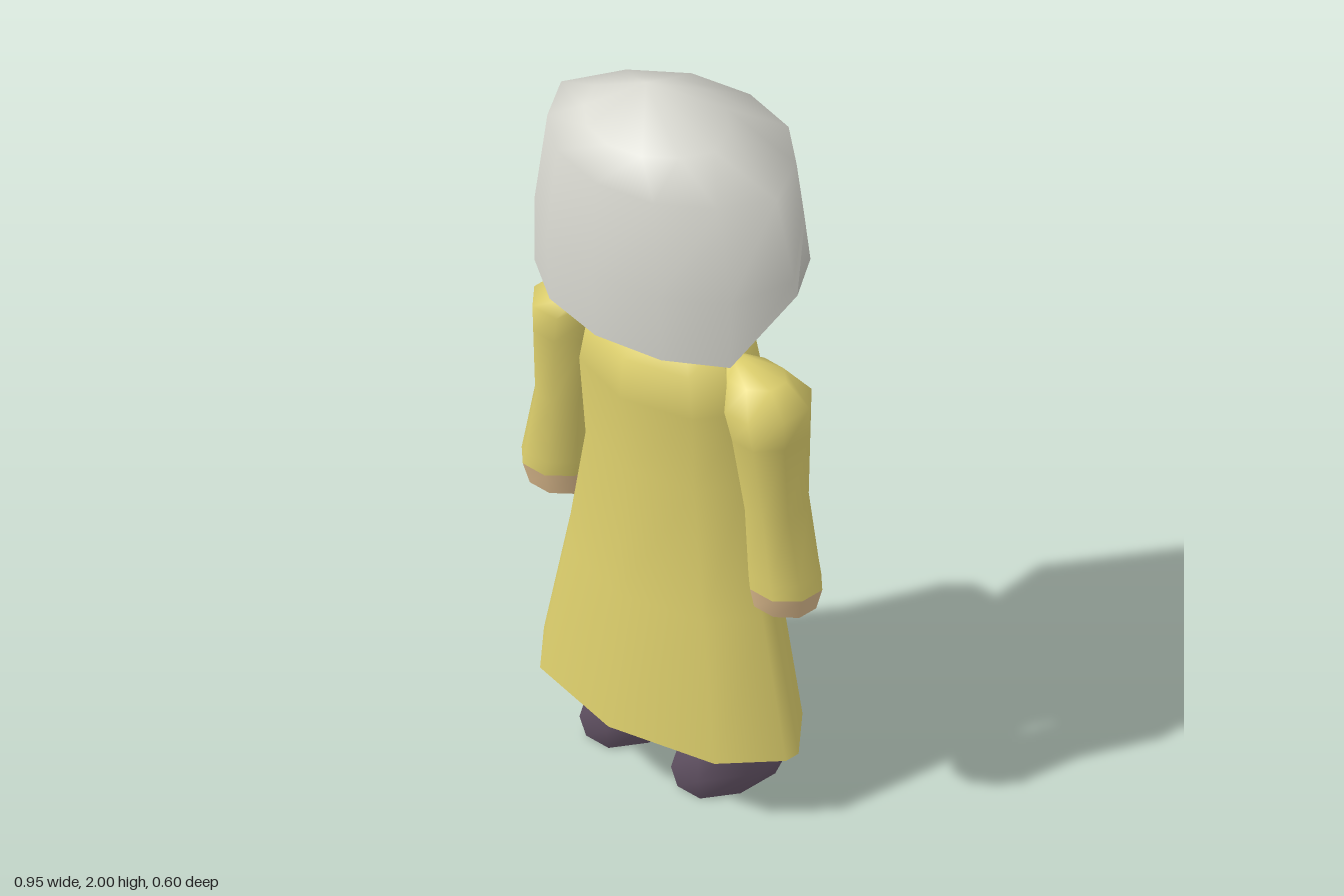
import * as THREE from 'three';
import { mergeVertices } from 'three/addons/utils/BufferGeometryUtils.js';

const mat = (name, color, side = THREE.FrontSide) => {
  const m = new THREE.MeshStandardMaterial({ color, side });
  m.name = name;
  return m;
};

// Smooth surface through rows of points (bottom to top); columns run counterclockwise seen from above
function grid(rows, closed = false) {
  const n = rows[0].length, pos = rows.flat(2), idx = [];
  for (let r = 0; r < rows.length - 1; r++)
    for (let k = 0; k < (closed ? n : n - 1); k++) {
      const a = r * n + k, b = r * n + (k + 1) % n;
      idx.push(a, b, b + n, a, b + n, a + n);
    }
  let g = new THREE.BufferGeometry();
  g.setAttribute('position', new THREE.Float32BufferAttribute(pos, 3));
  g.setIndex(idx);
  g = mergeVertices(g);
  g.computeVertexNormals();
  return g;
}

// Flat fan closing a ring
function cap(ring, up) {
  const n = ring.length, c = [0, 1, 2].map(i => ring.reduce((s, p) => s + p[i], 0) / n), idx = [];
  for (let k = 0; k < n; k++) idx.push(n, up ? k : (k + 1) % n, up ? (k + 1) % n : k);
  const g = new THREE.BufferGeometry();
  g.setAttribute('position', new THREE.Float32BufferAttribute([...ring, c].flat(), 3));
  g.setIndex(idx);
  g.computeVertexNormals();
  return g;
}

// Head outline: half of a 12-sided ring from the back (+z) round to the face (-z)
const HX = [0, 0.45, 0.79, 1, 0.79, 0.45, 0];
const HZ = [1, 0.87, 0.52, 0.05, -0.4, -0.75, -1];
const FULL = [0, 0, 0, 0, -0.1, -0.12, 0]; // extra fullness of the fringe
// y, half width, back z, face z, fringe fullness
const HEAD = [[1.27, 0.17, 0.18, -0.15, 0], [1.53, 0.42, 0.3, -0.3, 0], [1.79, 0.365, 0.285, -0.25, 1],
  [1.88, 0.205, 0.24, -0.095, 1], [2, 0, 0.11, 0.11, 1]];
const HAIR = [[1.345, 0.42, 0.285, -0.25, 0], ...HEAD.slice(1)];

function headPoint(u, y, keys = HEAD, grow = 1) {
  u = ((u % 12) + 12) % 12;
  const s = u > 6 ? -1 : 1, w = u > 6 ? 12 - u : u;
  const i = Math.min(5, Math.floor(w)), f = w - i;
  const at = list => list[i] + (list[i + 1] - list[i]) * f;
  let j = 0;
  while (j < keys.length - 2 && y > keys[j + 1][0]) j++;
  const t = (y - keys[j][0]) / (keys[j + 1][0] - keys[j][0]);
  const [, hw, back, face, full] = keys[j].map((v, q) => v + (keys[j + 1][q] - v) * t);
  const z = at(HZ) + full * at(FULL);
  return [s * at(HX) * hw * grow, y, (back + face) / 2 + z * (back - face) / 2 * grow];
}

const range = (a, b) => Array.from({ length: b - a + 1 }, (_, i) => a + i);

export function createModel() {
  const M = {
    dress: mat('dress yellow', 0xded06d),
    hair: mat('hair grey', 0xdcdcd4, THREE.DoubleSide),
    face: mat('face orange', 0xdfa058),
    skin: mat('skin tan', 0xdfbd8f),
    shoe: mat('shoe purple', 0x645466),
    eye: mat('eye white', 0xdcdcd8),
    dark: mat('dark brown', 0x41362c),
  };
  const root = new THREE.Group();
  root.name = 'figure';
  const add = (name, geo, m, parent) => {
    const mesh = new THREE.Mesh(geo, m);
    mesh.name = name;
    parent.add(mesh);
  };
  const group = name => {
    const g = new THREE.Group();
    g.name = name;
    root.add(g);
    return g;
  };

  // Head: hair hangs low behind and is cut into a fringe over the face
  const head = group('head');
  const hairline = [1.345, 1.345, 1.345, 1.53, 1.64, 1.71, 1.63];
  const line = k => {
    const w = ((k % 12) + 12) % 12;
    return hairline[Math.min(w, 12 - w)];
  };
  const all = range(0, 11), front = range(4, 8), behind = range(8, 16), nape = range(-3, 3);
  add('hair', grid([
    all.map(k => headPoint(k, line(k), HAIR)),
    all.map(k => headPoint(k, line(k) < 1.53 ? 1.53 : line(k) + 0.04, HAIR)),
    ...[1.79, 1.88, 2].map(y => all.map(k => headPoint(k, y))),
  ], true), M.hair, head);
  add('hairUnderside', grid([
    nape.map(k => headPoint(k, line(k))), nape.map(k => headPoint(k, line(k), HAIR)),
  ]), M.hair, head);
  // Hair on the head below the hanging locks, tucked inside them at the back
  const tucked = k => headPoint(k, Math.max(1.53, line(k)), HEAD, line(k) < 1.53 ? 0.93 : 1);
  add('sideHair', grid([
    behind.map(k => headPoint(k, 1.37)),
    behind.map(k => line(k) > 1.53 ? headPoint(k, 1.53) : tucked(k)),
    behind.map(tucked),
  ]), M.hair, head);
  add('nape', grid([1.27, 1.37].map(y => behind.map(k => headPoint(k, y)))), M.skin, head);
  add('face', grid([
    ...[1.27, 1.4, 1.53].map(y => front.map(k => headPoint(k, y))), front.map(k => headPoint(k, line(k))),
  ]), M.face, head);
  add('chinBase', cap(all.map(k => headPoint(k, 1.27)), false), M.skin, head);

  // Painted face details, folded along the facets of the head and mirrored
  const plate = (name, u0, u1, y0, y1, m, grow) => {
    const us = [u0, ...range(4, 8).filter(u => u > u0 && u < u1), u1];
    const ys = [y0, ...[1.53].filter(y => y > y0 && y < y1), y1];
    add(name, grid(ys.map(y => us.map(u => headPoint(u, y, HEAD, grow)))), m, head);
  };
  const pair = (name, u0, u1, ...rest) => {
    plate(name + 'Left', u0, u1, ...rest);
    plate(name + 'Right', 12 - u1, 12 - u0, ...rest);
  };
  pair('eyeWhite', 4.3, 5.58, 1.45, 1.53, M.eye, 1.012);
  pair('eyeWhiteTall', 4.48, 5.42, 1.425, 1.555, M.eye, 1.013);
  pair('eyeGlint', 4.65, 5.2, 1.555, 1.59, M.eye, 1.013);
  pair('browHighlight', 4.5, 5.45, 1.585, 1.612, M.eye, 1.014);
  pair('pupil', 4.62, 5.22, 1.483, 1.525, M.dark, 1.02);
  pair('pupilLower', 4.76, 5.1, 1.455, 1.483, M.dark, 1.02);
  pair('templeMark', 4.02, 4.14, 1.455, 1.515, M.dark, 1.012);
  pair('noseMark', 5.68, 5.84, 1.465, 1.51, M.dark, 1.012);
  pair('lowerLash', 4.75, 5.2, 1.4, 1.408, M.dark, 1.012);
  plate('mouth', 5.55, 6.45, 1.33, 1.342, M.dark, 1.015);

  // Dress: faceted oval, wide from side to side
  const plan = [[0, 1], [0.72, 0.7], [1, 0.1], [1, -0.1], [0.72, -0.7], [0, -1],
    [-0.72, -0.7], [-1, -0.1], [-1, 0.1], [-0.72, 0.7]];
  const dressRows = [[0.177, 0.41, 0.24, -0.195], [0.55, 0.325, 0.207, -0.168], [0.9, 0.255, 0.18, -0.145],
    [1.12, 0.265, 0.2, -0.16], [1.23, 0.24, 0.19, -0.145], [1.27, 0.17, 0.13, -0.09]]
    .map(([y, w, b, f]) => plan.map(([x, z]) => [x * w, y, (b + f) / 2 + z * (b - f) / 2]));
  const dress = group('dress');
  add('dressBody', grid(dressRows, true), M.dress, dress);
  add('dressHem', cap(dressRows[0], false), M.dress, dress);
  add('dressNeck', cap(dressRows[5], true), M.dress, dress);

  // Eight-sided limb section: y, centre x, half width, back z, front z
  const section = s => ([y, cx, w, b, f]) => range(0, 7).map(k => {
    const a = (k + 0.5) * Math.PI / 4;
    return [s * cx + Math.sin(a) / 0.924 * w, y, (b + f) / 2 + Math.cos(a) / 0.924 * (b - f) / 2];
  });

  for (const [side, s] of [['left', 1], ['right', -1]]) {
    const ring = section(s);
    // Sleeve with rounded shoulder, and hand
    const arm = group(side + 'Arm');
    const wrist = [0.68, 0.385, 0.09, 0.105, -0.065];
    const sleeve = [wrist, [0.72, 0.378, 0.088, 0.104, -0.064],
      [0.9, 0.355, 0.072, 0.1, -0.06], [1.1, 0.337, 0.085, 0.12, -0.08],
      [1.18, 0.325, 0.097, 0.13, -0.09], [1.238, 0.283, 0.078, 0.085, -0.045],
      [1.256, 0.22, 0.03, 0.04, 0], [1.256, 0.22, 0, 0.02, 0.02]].map(ring);
    add('sleeve', grid(sleeve, true), M.dress, arm);
    const hand = [[0.622, 0.38, 0.08, 0.09, -0.05], wrist].map(ring);
    add('hand', grid(hand, true), M.skin, arm);
    add('handEnd', cap(hand[0], false), M.skin, arm);

    // Leg and shoe
    const leg = group(side + 'Leg');
    add('ankle', grid([[0.12, 0.155, 0.075, 0.115, -0.08], [0.3, 0.155, 0.08, 0.115, -0.08]].map(ring), true), M.skin, leg);
    const shoe = [[0, 0.155, 0.092, 0.12, -0.17], [0.06, 0.155, 0.11, 0.135, -0.21],
      [0.135, 0.155, 0.078, 0.118, -0.1]].map(ring);
    add('shoe', grid(shoe, true), M.shoe, leg);
    add('shoeSole', cap(shoe[0], false), M.shoe, leg);
    add('shoeTop', cap(shoe[2], true), M.shoe, leg);
  }
  return root;
}
